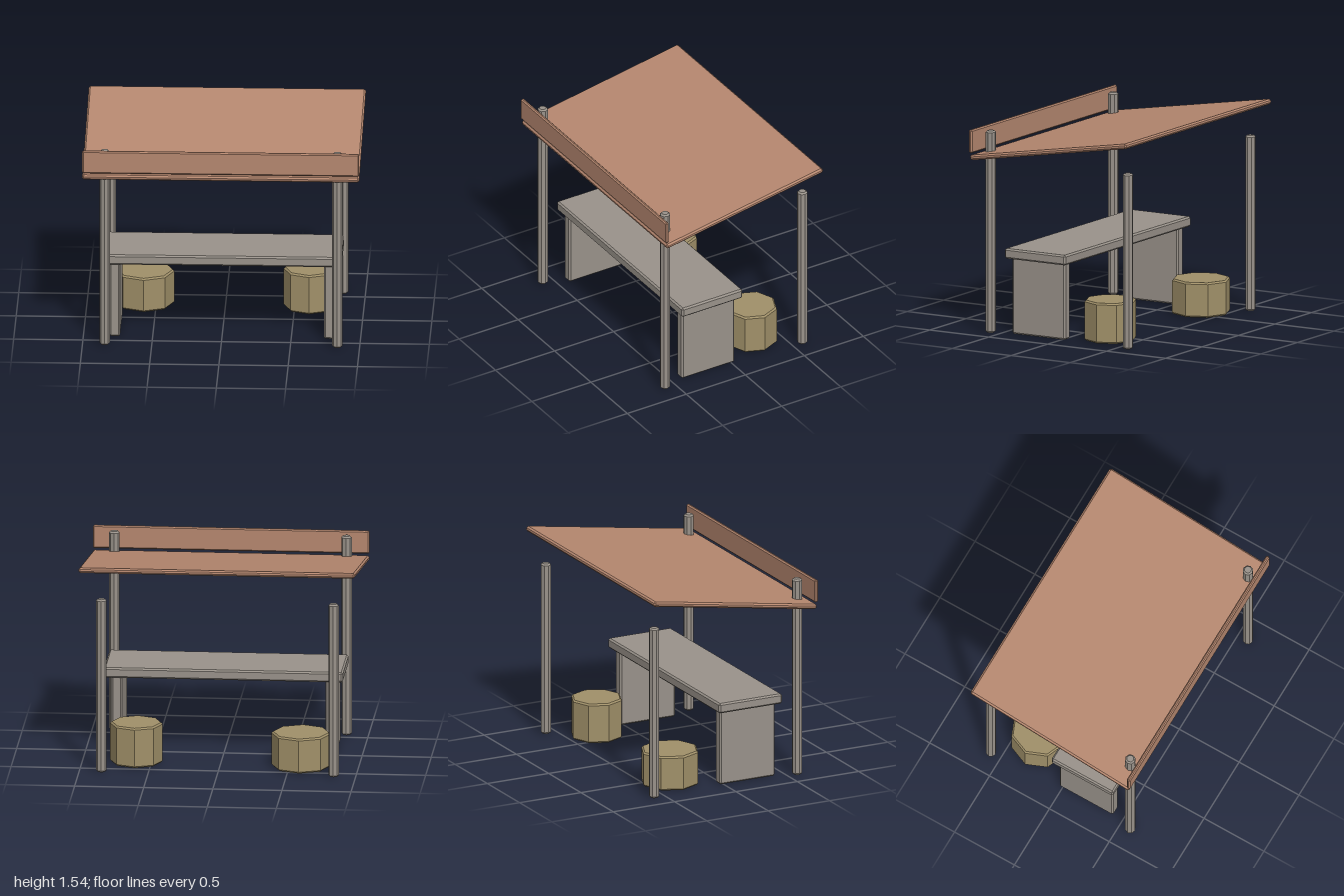
import * as THREE from 'three';
import { ConvexGeometry } from 'three/addons/geometries/ConvexGeometry.js';

// Box with chamfered edges and flat faces
function chamferBox(w, h, d, c) {
  const pts = [];
  for (const x of [-w / 2, w / 2]) for (const y of [-h / 2, h / 2]) for (const z of [-d / 2, d / 2]) {
    const ix = x - Math.sign(x) * c, iy = y - Math.sign(y) * c, iz = z - Math.sign(z) * c;
    pts.push(new THREE.Vector3(x, iy, iz), new THREE.Vector3(ix, y, iz), new THREE.Vector3(ix, iy, z));
  }
  return new ConvexGeometry(pts);
}

// Faceted upright cylinder with chamfered rims, standing on y = 0
function chamferCylinder(r, h, c, sides) {
  const profile = [[0, 0], [r - c, 0], [r, c], [r, h - c], [r - c, h], [0, h]]
    .map(([x, y]) => new THREE.Vector2(x, y));
  const geometry = new THREE.LatheGeometry(profile, sides).toNonIndexed();
  geometry.computeVertexNormals();
  return geometry;
}

export function createModel() {
  const group = new THREE.Group();
  const material = (name, color) => {
    const m = new THREE.MeshStandardMaterial({ color });
    m.name = name;
    return m;
  };
  const clay = material('clay board', 0xb5876f);
  const grey = material('weathered grey wood', 0x99928a);
  const straw = material('stool wood', 0xa09069);

  const add = (name, geometry, mat, x, y, z) => {
    const mesh = new THREE.Mesh(geometry, mat);
    mesh.name = name;
    mesh.position.set(x, y, z);
    group.add(mesh);
    return mesh;
  };

  // Sloping roof, high at the back, and the front board
  add('roof', chamferBox(2, 0.038, 1.345, 0.012), clay, 0, 1.41, 0).rotation.x = 0.165;
  add('frontBoard', chamferBox(2, 0.17, 0.028, 0.009), clay, 0, 1.42, 0.658);

  // Table top
  add('tableTop', chamferBox(1.73, 0.075, 0.515, 0.012), grey, 0, 0.597, 0.193);

  // Posts and table legs, mirrored
  for (const [side, s] of [['left', 1], ['right', -1]]) {
    add(side + 'FrontPost', chamferCylinder(0.038, 1.485, 0.012, 8), grey, s * 0.84, 0, 0.582);
    add(side + 'BackPost', chamferCylinder(0.038, 1.29, 0.012, 8), grey, s * 0.84, 0, -0.582);
    add(side + 'TableLeg', chamferBox(0.076, 0.57, 0.45, 0.012), grey, s * 0.773, 0.285, 0.195);
  }

  // Two stools of different size
  add('leftStool', chamferCylinder(0.19, 0.297, 0.012, 8), straw, 0.61, 0, -0.29);
  add('rightStool', chamferCylinder(0.214, 0.257, 0.012, 8), straw, -0.584, 0, -0.321);

  return group;
}
